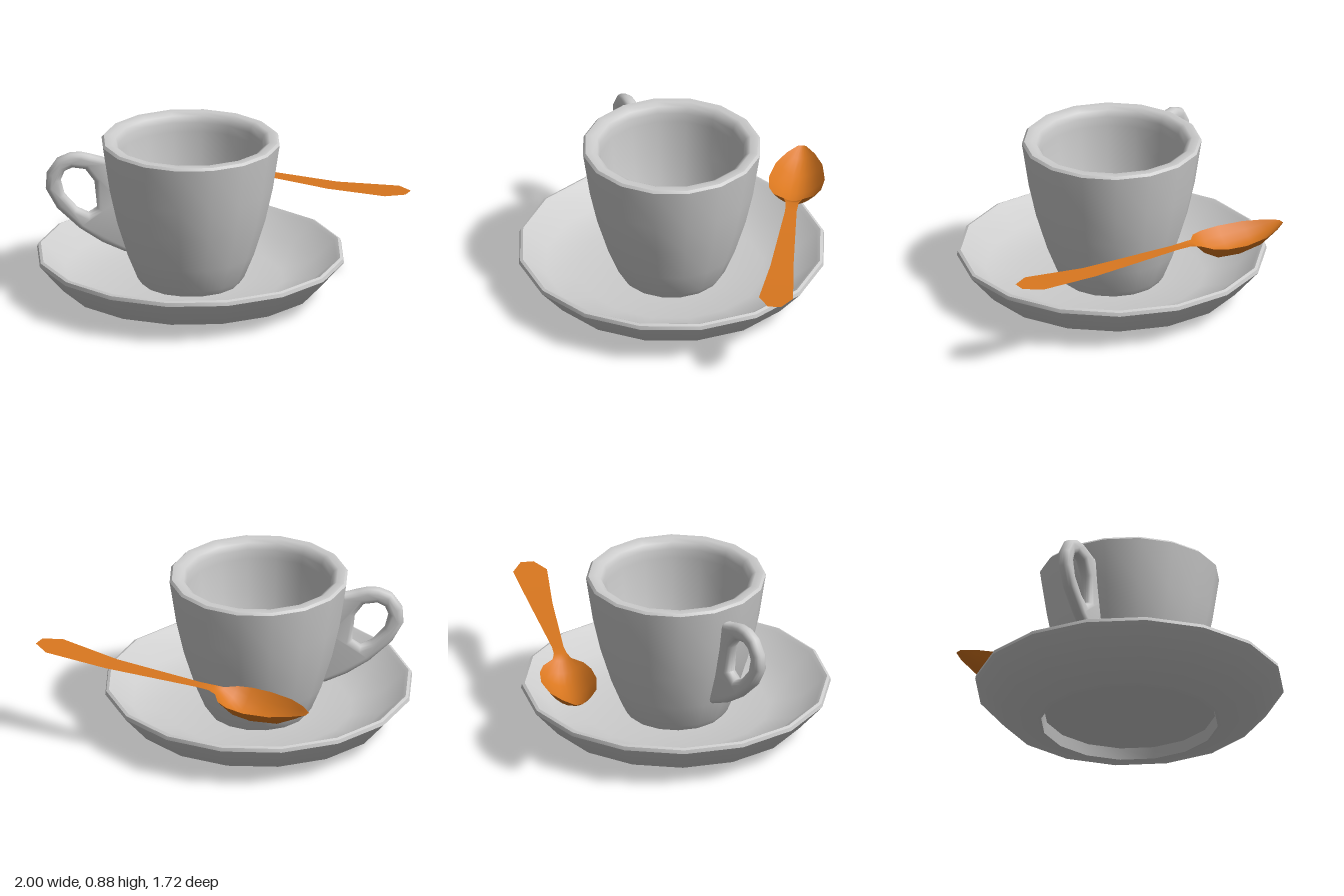
import * as THREE from 'three';
import { mergeVertices, toCreasedNormals } from 'three/addons/utils/BufferGeometryUtils.js';

const CX = -0.185, CZ = 0.045; // shared axis of cup and saucer
const vec2 = (pts) => pts.map(([a, b]) => new THREE.Vector2(a, b));

// 16-sided turned part, with edges kept sharp only where the profile turns hard
function turned(name, profile, material) {
  const lathe = new THREE.LatheGeometry(vec2(profile), 16, Math.PI / 16);
  const mesh = new THREE.Mesh(toCreasedNormals(lathe, 0.75), material);
  mesh.name = name;
  mesh.position.set(CX, 0, CZ);
  return mesh;
}

// Looped handle with a web against the cup wall, rounded by its bevel
function cupHandle(material) {
  const shape = new THREE.Shape(vec2([
    [-0.60, 0.79], [-0.65, 0.78], [-0.72, 0.80], [-0.77, 0.812], [-0.83, 0.81], [-0.90, 0.78],
    [-0.955, 0.70], [-0.96, 0.61], [-0.90, 0.50], [-0.78, 0.385], [-0.66, 0.305],
    [-0.54, 0.25], [-0.48, 0.25], [-0.54, 0.55],
  ]));
  shape.holes.push(new THREE.Path(vec2([
    [-0.82, 0.73], [-0.75, 0.72], [-0.70, 0.65], [-0.685, 0.50], [-0.73, 0.47],
    [-0.79, 0.50], [-0.86, 0.58], [-0.88, 0.66], [-0.86, 0.71],
  ])));
  let geo = new THREE.ExtrudeGeometry(shape, {
    depth: 0.014, bevelEnabled: true, bevelSize: 0.028, bevelOffset: -0.028,
    bevelThickness: 0.028, bevelSegments: 3, curveSegments: 1,
  });
  geo.deleteAttribute('normal');
  geo.deleteAttribute('uv');
  geo = toCreasedNormals(mergeVertices(geo, 1e-4), 1.1);
  geo.translate(0, 0, CZ - 0.007);
  const mesh = new THREE.Mesh(geo, material);
  mesh.name = 'cupHandle';
  return mesh;
}

// Spoon: a thin sheet swept along its length
function spoon(material) {
  // distance from tip, half width, edge height, bowl depth
  const stations = [
    [-0.01, 0.02, 0.485, 0], [0.06, 0.075, 0.483, 0.04], [0.16, 0.125, 0.478, 0.085],
    [0.3, 0.15, 0.475, 0.1], [0.41, 0.14, 0.478, 0.095], [0.48, 0.11, 0.483, 0.06],
    [0.53, 0.05, 0.49, 0.015], [0.58, 0.035, 0.497, 0], [0.66, 0.031, 0.495, 0],
    [1.2, 0.062, 0.485, 0], [1.55, 0.092, 0.505, 0], [1.645, 0.035, 0.51, 0],
  ];
  const across = 8, pos = [], index = [];
  const dir = [0.889, 0.457];
  stations.forEach(([u, w, y, depth], i) => {
    for (let j = 0; j <= across; j++) {
      const s = (j / across) * 2 - 1, v = 0.016 + s * w;
      pos.push(-0.47 + u * dir[0] - v * dir[1], y - depth * (1 - s * s), -0.84 + u * dir[1] + v * dir[0]);
      if (i && j) {
        const d = i * (across + 1) + j, c = d - 1, b = d - across - 1, a = b - 1;
        index.push(a, b, d, a, d, c);
      }
    }
  });
  const geo = new THREE.BufferGeometry();
  geo.setAttribute('position', new THREE.Float32BufferAttribute(pos, 3));
  geo.setIndex(index);
  geo.computeVertexNormals();
  const mesh = new THREE.Mesh(geo, material);
  mesh.name = 'spoon';
  return mesh;
}

export function createModel() {
  const china = new THREE.MeshStandardMaterial({ color: 0xcccccc });
  const metal = new THREE.MeshStandardMaterial({ color: 0xd9771f, side: THREE.DoubleSide });
  const model = new THREE.Group();

  // Saucer: recessed foot, flared underside, thin rim, dished top
  model.add(turned('saucer', [
    [0, 0.06], [0.46, 0.06], [0.475, 0], [0.70, 0.072], [0.83, 0.22], [0.825, 0.24],
    [0.81, 0.247], [0.79, 0.235], [0.68, 0.135], [0.5, 0.09], [0.26, 0.075], [0, 0.075],
  ], china));

  // Cup: tapered outside, rounded lip, stepped inside wall, flat floor
  model.add(turned('cup', [
    [0, 0.068], [0.26, 0.068], [0.29, 0.11], [0.345, 0.245], [0.405, 0.44], [0.445, 0.62],
    [0.482, 0.865], [0.47, 0.878], [0.43, 0.88], [0.405, 0.865], [0.392, 0.83], [0.388, 0.78],
    [0.37, 0.6], [0.32, 0.34], [0.245, 0.13], [0, 0.13],
  ], china));

  model.add(cupHandle(china), spoon(metal));
  return model;
}
